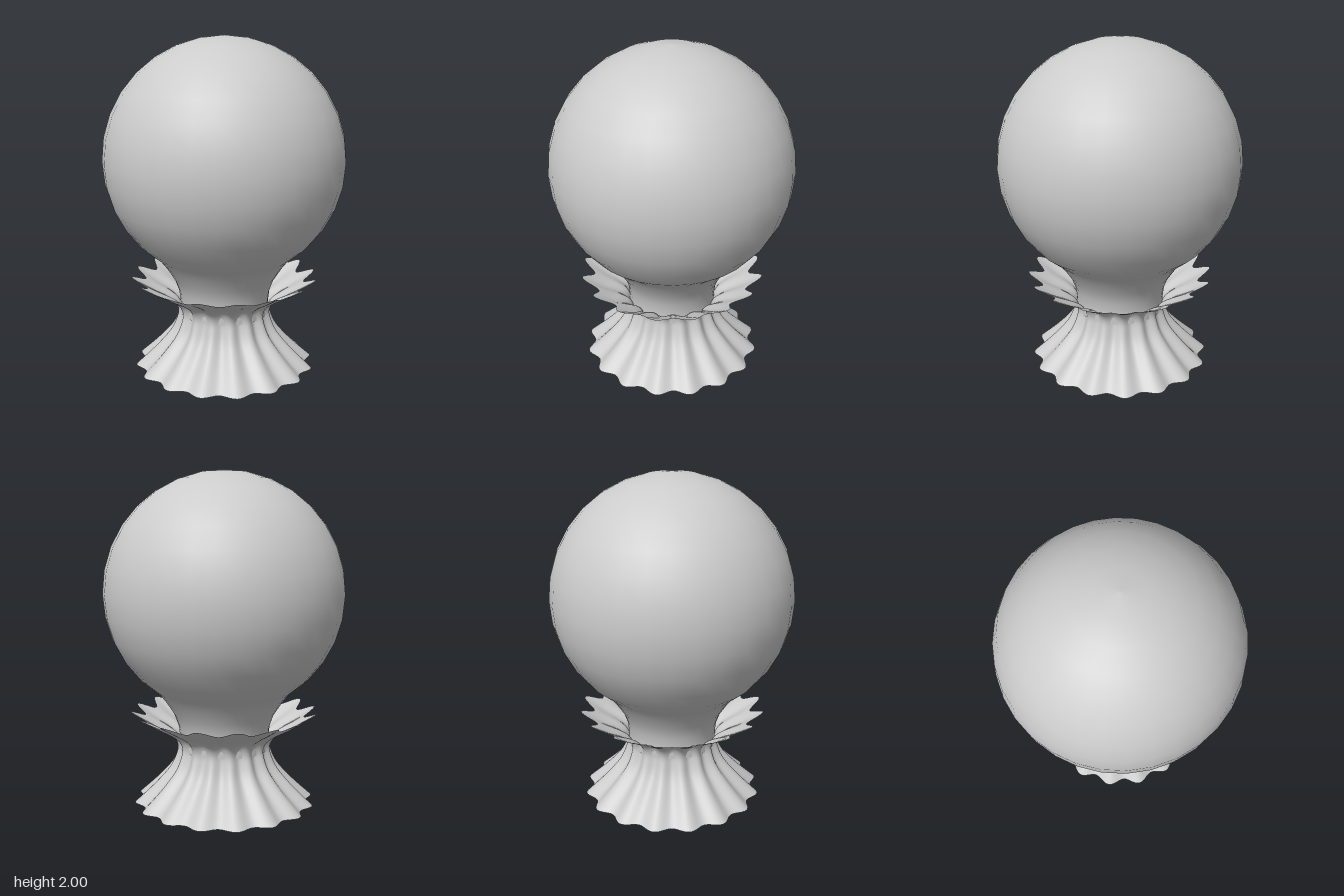
import * as THREE from 'three';
import { mergeVertices } from 'three/addons/utils/BufferGeometryUtils.js';

const FOLDS = 16;
const v2 = (list) => list.map(([x, y]) => new THREE.Vector2(x, y));

// Round bulb whose lower side runs smoothly into an open neck
function bulbGeometry() {
  const radius = 0.72, centerY = 1.28;
  const neck = [[0.27, 0.33], [0.27, 0.4], [0.278, 0.47], [0.305, 0.545], [0.36, 0.63]];
  const profile = v2(neck);
  for (let i = 3; i <= 16; i++) {
    const a = -Math.PI / 2 + (i / 16) * Math.PI;
    profile.push(new THREE.Vector2(Math.max(0, radius * Math.cos(a)), centerY + radius * Math.sin(a)));
  }
  return new THREE.LatheGeometry(profile, 32);
}

// Pleated sleeve: blends between a ridge profile and a groove profile around the axis
function collarGeometry() {
  const rows = 32;
  const ridge = new THREE.SplineCurve(v2([
    [0.55, 0], [0.43, 0.11], [0.335, 0.215], [0.293, 0.3], [0.285, 0.355],
    [0.31, 0.405], [0.37, 0.45], [0.455, 0.498], [0.565, 0.567]])).getPoints(rows);
  const groove = new THREE.SplineCurve(v2([
    [0.505, 0], [0.39, 0.11], [0.302, 0.215], [0.268, 0.3], [0.264, 0.355],
    [0.285, 0.405], [0.335, 0.445], [0.405, 0.483], [0.485, 0.525]])).getPoints(rows);
  const geometry = new THREE.LatheGeometry(ridge, FOLDS * 12);
  const pos = geometry.attributes.position;
  const point = new THREE.Vector2();
  for (let i = 0; i < pos.count; i++) {
    const row = i % (rows + 1);
    const angle = Math.atan2(pos.getX(i), pos.getZ(i));
    const blend = 0.5 + 0.5 * Math.cos(FOLDS * angle);
    point.lerpVectors(groove[row], ridge[row], blend);
    pos.setXYZ(i, point.x * Math.sin(angle), point.y, point.x * Math.cos(angle));
  }
  // Weld the seam so the shading is continuous
  geometry.deleteAttribute('uv');
  geometry.deleteAttribute('normal');
  const welded = mergeVertices(geometry, 1e-4);
  welded.computeVertexNormals();
  return welded;
}

export function createModel() {
  const material = new THREE.MeshStandardMaterial({ color: 0xcccccc, side: THREE.DoubleSide });
  const model = new THREE.Group();
  model.name = 'wrappedBulb';

  const bulb = new THREE.Mesh(bulbGeometry(), material);
  bulb.name = 'bulb';
  const collar = new THREE.Mesh(collarGeometry(), material);
  collar.name = 'pleatedCollar';

  model.add(bulb, collar);
  return model;
}
